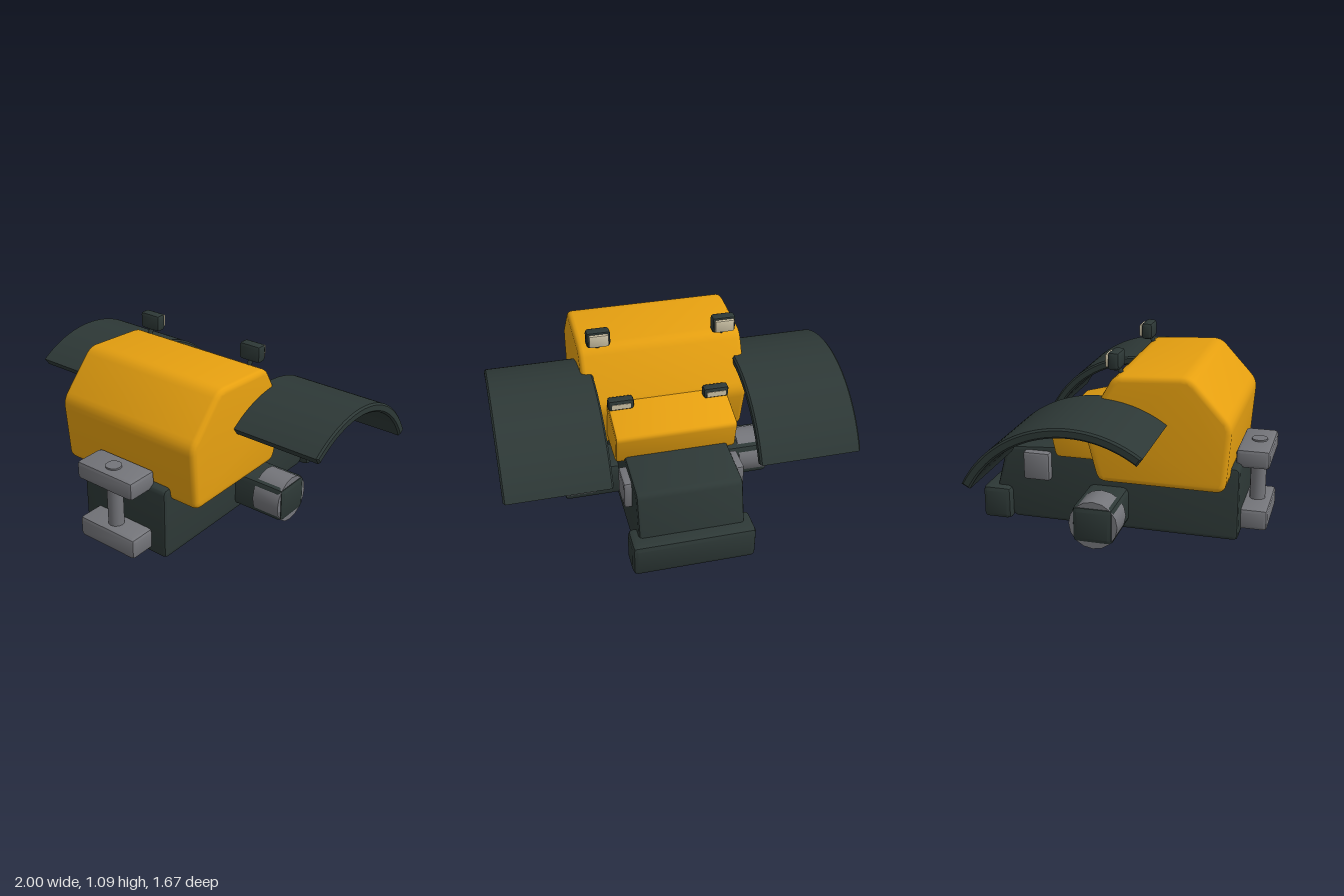
import * as THREE from 'three';
import { toCreasedNormals } from 'three/addons/utils/BufferGeometryUtils.js';
import { RoundedBoxGeometry } from 'three/addons/geometries/RoundedBoxGeometry.js';

const paint = (name, color) => {
  const m = new THREE.MeshStandardMaterial({ color });
  m.name = name;
  return m;
};

// Shape from [z, y] points with eased corners, mirrored so it can be extruded along x
function softShape(points, radius) {
  const pts = points.map(([z, y]) => new THREE.Vector2(-z, y));
  const shape = new THREE.Shape();
  pts.forEach((p, i) => {
    const toward = (q) => p.clone().add(q.clone().sub(p).setLength(radius));
    const a = toward(pts[(i + pts.length - 1) % pts.length]);
    const b = toward(pts[(i + 1) % pts.length]);
    if (i === 0) shape.moveTo(a.x, a.y);
    else shape.lineTo(a.x, a.y);
    shape.quadraticCurveTo(p.x, p.y, b.x, b.y);
  });
  shape.closePath();
  return shape;
}

// Extrude a side shape across x, centred on x = 0, with bevelled sides
function acrossX(shape, width, bevel, segments = 2, curveSegments = 4) {
  const g = new THREE.ExtrudeGeometry(shape, {
    depth: width - 2 * bevel, bevelEnabled: true, bevelThickness: bevel,
    bevelSize: bevel, bevelOffset: -bevel, bevelSegments: segments, curveSegments,
  });
  g.translate(0, 0, bevel - width / 2);
  g.rotateY(Math.PI / 2);
  return toCreasedNormals(g, 0.6);
}

const chamferBox = (w, h, d, r) => toCreasedNormals(new RoundedBoxGeometry(w, h, d, 1, r), 0.5);

export function createModel() {
  const model = new THREE.Group();
  model.name = 'tractor body';
  const yellow = paint('yellow paint', 0xe6a010);
  const dark = paint('dark frame', 0x2d3836);
  const steel = paint('grey steel', 0x74757a);
  const lens = paint('cream lens', 0xcfc5a8);

  const add = (name, geometry, material, x = 0, y = 0, z = 0) => {
    const mesh = new THREE.Mesh(geometry, material);
    mesh.name = name;
    mesh.position.set(x, y, z);
    model.add(mesh);
    return mesh;
  };

  // Frame and rear counterweight
  const frame = [[0.685, 0.005], [0.685, 0.44], [-0.33, 0.475], [-0.695, 0.45], [-0.765, 0.18], [-0.66, 0.005]];
  add('chassis', acrossX(softShape(frame, 0.03), 0.6, 0.02), dark);
  add('rearCounterweight', chamferBox(0.7, 0.2, 0.175, 0.028), dark, 0, 0.1, -0.75);

  // Yellow bodywork
  const cab = [[0.63, 0.357], [0.66, 0.745], [0.43, 0.995], [0.01, 0.973], [-0.165, 0.665], [-0.085, 0.357]];
  add('cabBody', acrossX(softShape(cab, 0.05), 0.95, 0.03, 3), yellow);
  const hood = [[0.05, 0.43], [0.05, 0.745], [-0.412, 0.622], [-0.372, 0.43]];
  add('rearHood', acrossX(softShape(hood, 0.03), 0.7, 0.018), yellow);

  // Front hitch: two jaws joined by a pin
  add('upperHitchJaw', chamferBox(0.4, 0.11, 0.19, 0.02), steel, 0, 0.466, 0.74);
  add('lowerHitchJaw', chamferBox(0.4, 0.125, 0.19, 0.02), steel, 0, 0.1, 0.74);
  add('hitchPin', toCreasedNormals(new THREE.CylinderGeometry(0.046, 0.046, 0.505, 12), 0.6), steel, 0, 0.278, 0.75);

  // Axle beam runs through both hubs
  add('axle', chamferBox(1.26, 0.215, 0.235, 0.03), dark, 0, 0.155, -0.07);

  // Curved fender outline, a slice of a ring over the wheel
  const fender = new THREE.Shape();
  const front = Math.PI / 2 + 0.615, rear = Math.PI / 2 - 1.085;
  // local x is -z, so the front end lies on the left
  fender.absarc(0.07, 0.185, 0.66, rear, front, false);
  fender.absarc(0.07, 0.185, 0.608, front, rear, true);
  const fenderGeometry = acrossX(fender, 0.59, 0.01, 1, 20);

  const hubGeometry = new THREE.CylinderGeometry(0.14, 0.14, 0.175, 16);
  hubGeometry.rotateZ(Math.PI / 2);
  const hub = toCreasedNormals(hubGeometry, 0.5);

  for (const s of [1, -1]) {
    const side = s > 0 ? 'left' : 'right';
    add(side + 'Fender', fenderGeometry, dark, s * 0.705);
    add(side + 'Hub', hub, steel, s * 0.53, 0.155, -0.068);
    add(side + 'SideBlock', chamferBox(0.1, 0.17, 0.16, 0.014), steel, s * 0.295, 0.355, -0.495);

    // Work lights on the cab roof
    add(side + 'RoofLight', chamferBox(0.137, 0.1, 0.066, 0.018), dark, s * 0.362, 1.04, 0);
    add(side + 'RoofLightLens', chamferBox(0.11, 0.072, 0.03, 0.006), lens, s * 0.362, 1.04, -0.034);
    const stem = add(side + 'RoofLightStem', new THREE.CylinderGeometry(0.014, 0.014, 0.08, 8), dark, s * 0.362, 0.98, 0.02);
    stem.rotation.x = -0.5;

    // Small lights on the rear hood
    add(side + 'HoodLight', chamferBox(0.15, 0.07, 0.06, 0.018), dark, s * 0.277, 0.704, -0.18);
    add(side + 'HoodLightLens', new THREE.BoxGeometry(0.11, 0.032, 0.006), lens, s * 0.277, 0.7, -0.21);
    add(side + 'HoodLightMount', chamferBox(0.04, 0.06, 0.04, 0.006), dark, s * 0.277, 0.665, -0.18);
  }
  return model;
}
